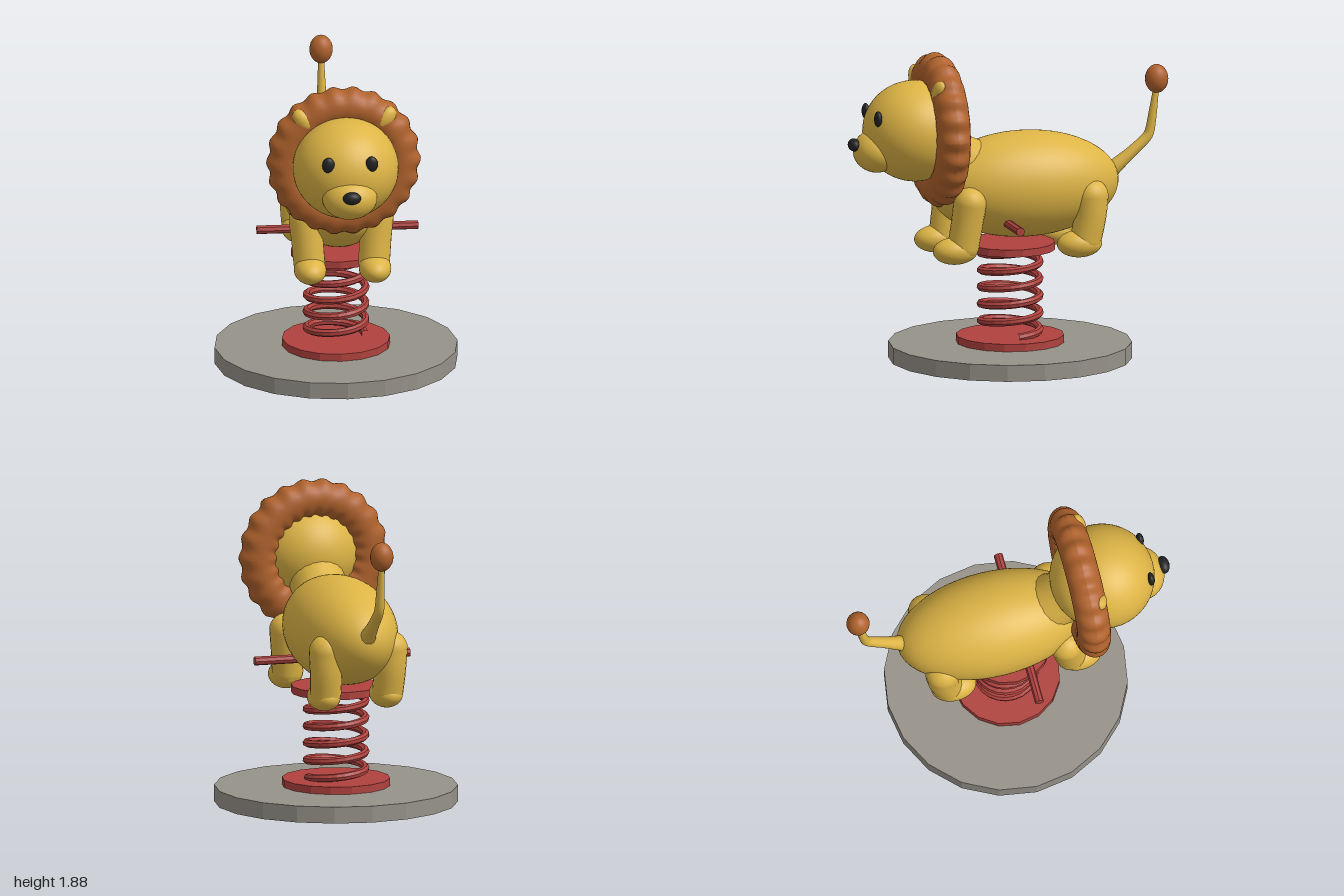
import * as THREE from 'three';

const paint = (name, color, flat = false) => {
  const m = new THREE.MeshStandardMaterial({ color, flatShading: flat });
  m.name = name;
  return m;
};

export function createModel() {
  const root = new THREE.Group();
  root.name = 'lionSpringRider';
  const yellow = paint('golden coat', 0xddb445);
  const brown = paint('brown mane', 0xb0622c);
  const red = paint('red metal', 0xb0423e, true);
  const grey = paint('grey base', 0x969289, true);
  const black = paint('black', 0x222222);

  const add = (name, geo, mat, pos = [0, 0, 0]) => {
    const mesh = new THREE.Mesh(geo, mat);
    mesh.name = name;
    mesh.position.set(...pos);
    root.add(mesh);
    return mesh;
  };
  const ball = (name, mat, pos, radii, seg = 32) =>
    add(name, new THREE.SphereGeometry(1, seg, Math.round(seg * 0.7)).scale(...radii), mat, pos);

  // Tapered tube through [x, y, z, radius] stations, with rounded ends
  const limb = (name, stations, mat, seg = 24) => {
    const pts = stations.map(s => new THREE.Vector3(s[0], s[1], s[2]));
    const curve = new THREE.CatmullRomCurve3(pts, false, 'centripetal');
    const sides = 20;
    const geo = new THREE.TubeGeometry(curve, seg, 1, sides);
    const p = geo.attributes.position, v = new THREE.Vector3(), c = new THREE.Vector3();
    for (let i = 0; i <= seg; i++) {
      const t = curve.getUtoTmapping(i / seg) * (stations.length - 1);
      const k = Math.min(Math.floor(t), stations.length - 2);
      const r = THREE.MathUtils.lerp(stations[k][3], stations[k + 1][3], t - k);
      curve.getPointAt(i / seg, c);
      for (let j = 0; j <= sides; j++) {
        const n = i * (sides + 1) + j;
        v.fromBufferAttribute(p, n).sub(c).multiplyScalar(r).add(c);
        p.setXYZ(n, v.x, v.y, v.z);
      }
    }
    add(name, geo, mat);
    for (const s of [stations[0], stations[stations.length - 1]]) {
      ball(name + 'End', mat, s.slice(0, 3), [s[3], s[3], s[3]], 20);
    }
  };

  // Ground disc and the two spring plates
  const cz = -0.015;
  add('groundBase', new THREE.CylinderGeometry(0.73, 0.73, 0.1, 20), grey, [0, 0.05, cz]);
  add('lowerPlate', new THREE.CylinderGeometry(0.325, 0.325, 0.045, 16), red, [0, 0.1225, cz]);
  add('upperPlate', new THREE.CylinderGeometry(0.27, 0.27, 0.045, 16), red, [0, 0.6875, cz]);

  // Coil spring
  const coil = new THREE.Curve();
  coil.getPoint = (t, out = new THREE.Vector3()) => {
    const a = t * Math.PI * 10;
    return out.set(0.177 * Math.cos(a), 0.155 + 0.515 * t, cz - 0.177 * Math.sin(a));
  };
  add('spring', new THREE.TubeGeometry(coil, 120, 0.024, 7), red);

  // Handle bar through the shoulders
  add('handleBar', new THREE.CylinderGeometry(0.027, 0.027, 0.97, 8).rotateZ(Math.PI / 2), red, [0, 0.865, 0.065]);

  // Body, neck and head
  ball('body', yellow, [0, 1.06, -0.1], [0.315, 0.32, 0.585], 48);
  limb('neck', [[0, 1.14, 0.2, 0.2], [0, 1.24, 0.33, 0.16], [0, 1.38, 0.5, 0.2]], yellow);
  ball('head', yellow, [0, 1.42, 0.58], [0.317, 0.303, 0.315], 48);
  ball('muzzle', yellow, [0, 1.31, 0.82], [0.165, 0.128, 0.14]);
  ball('nose', black, [0, 1.355, 0.96], [0.055, 0.038, 0.036], 20);

  // Scalloped mane ring
  const mane = new THREE.TorusGeometry(0.345, 0.11, 24, 176);
  const mp = mane.attributes.position;
  for (let i = 0; i < mp.count; i++) {
    const x = mp.getX(i), y = mp.getY(i), a = Math.atan2(y, x);
    const r = Math.hypot(x, y), bump = 1 + 0.09 * Math.cos(22 * a);
    const nr = 0.345 + (r - 0.345) * bump;
    mp.setXYZ(i, nr * Math.cos(a), nr * Math.sin(a), mp.getZ(i) * 0.92);
  }
  mane.computeVertexNormals();
  add('mane', mane, brown, [0, 1.418, 0.44]);

  for (const s of [1, -1]) {
    const side = s > 0 ? 'left' : 'right';
    ball(side + 'Eye', black, [s * 0.13, 1.53, 0.848], [0.038, 0.048, 0.023], 20);

    // Ear half buried in the mane, pointing outward
    const a = 0.85;
    const ear = ball(side + 'Ear', yellow,
      [s * 0.365 * Math.cos(a), 1.418 + 0.365 * Math.sin(a), 0.495], [0.09, 0.055, 0.05], 20);
    ear.rotation.z = s > 0 ? a : Math.PI - a;

    // Legs with rounded paws
    limb(side + 'FrontLeg', [[s * 0.215, 1.0, 0.3, 0.1], [s * 0.205, 0.88, 0.315, 0.096],
      [s * 0.195, 0.74, 0.335, 0.095]], yellow);
    ball(side + 'FrontPaw', yellow, [s * 0.195, 0.712, 0.385], [0.097, 0.082, 0.138]);
    limb(side + 'HindLeg', [[s * 0.2, 1.0, -0.46, 0.105], [s * 0.2, 0.88, -0.455, 0.097],
      [s * 0.195, 0.74, -0.43, 0.094]], yellow);
    ball(side + 'HindPaw', yellow, [s * 0.195, 0.712, -0.39], [0.097, 0.082, 0.138]);
  }

  // Tail and tuft
  limb('tail', [[0, 1.06, -0.58, 0.08], [0, 1.13, -0.67, 0.045], [0, 1.21, -0.77, 0.034],
    [0, 1.3, -0.87, 0.03], [0, 1.33, -0.885, 0.029], [0, 1.44, -0.905, 0.025], [0, 1.58, -0.925, 0.018]], yellow, 36);
  ball('tailTuft', brown, [0, 1.65, -0.93], [0.07, 0.087, 0.07], 20);

  return root;
}
